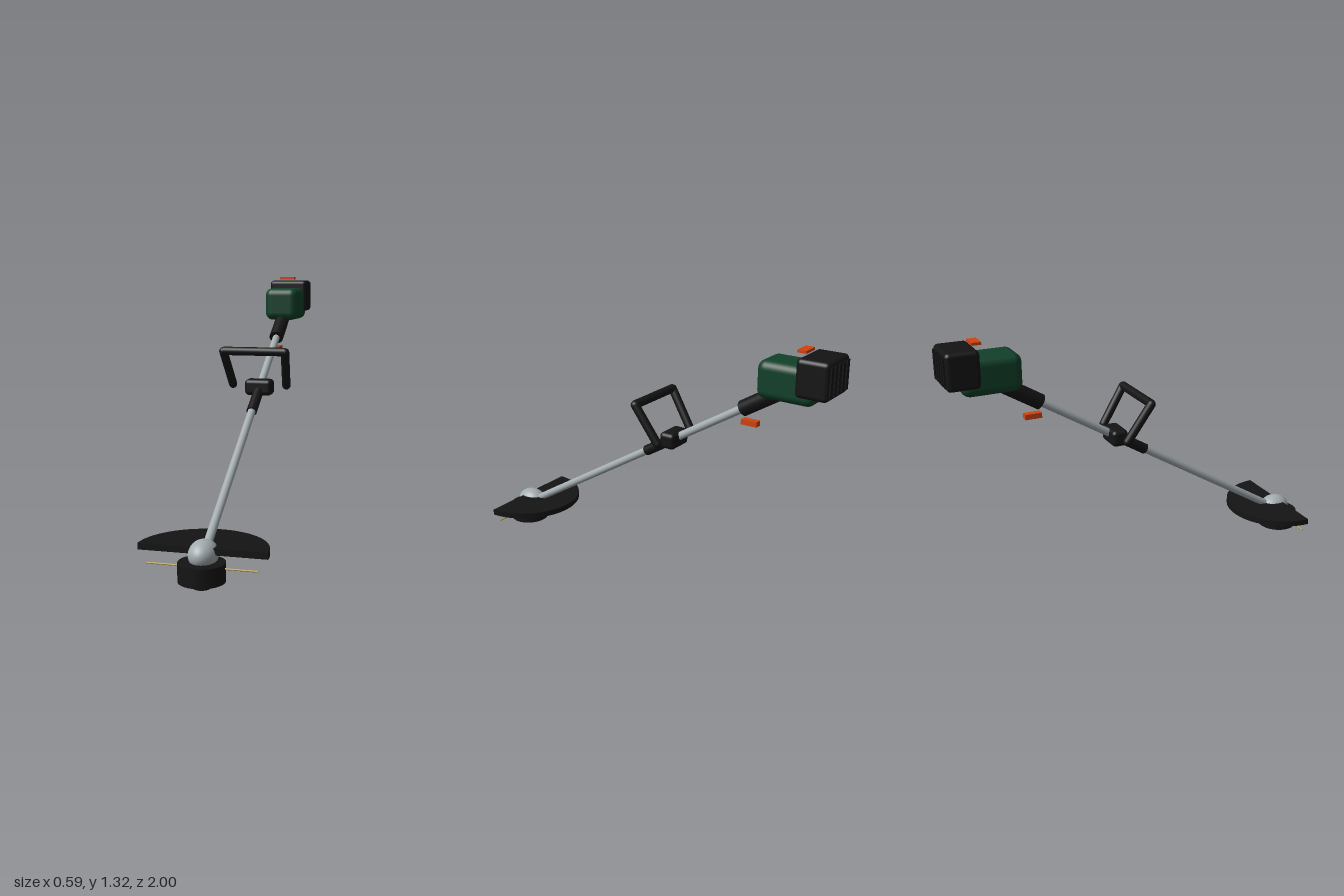
import * as THREE from 'three';
import { RoundedBoxGeometry } from 'three/addons/geometries/RoundedBoxGeometry.js';

export function createModel() {
  const model = new THREE.Group();
  model.name = 'stringTrimmer';

  const mat = (name, color) => {
    const m = new THREE.MeshStandardMaterial({ color });
    m.name = name;
    return m;
  };
  const black = mat('blackPlastic', 0x141414);
  const green = mat('greenHousing', 0x10402a);
  const orange = mat('orangeControl', 0xd0420f);
  const metal = mat('greyMetal', 0xa3acb0);
  const cord = mat('tanCord', 0xb8a050);

  const add = (name, geometry, material, x = 0, y = 0, z = 0) => {
    const mesh = new THREE.Mesh(geometry, material);
    mesh.name = name;
    mesh.position.set(x, y, z);
    model.add(mesh);
    return mesh;
  };
  // A round bar running from a to b, with flat or domed ends
  const rod = (name, a, b, r, material, domed = false) => {
    const p = new THREE.Vector3(...a), q = new THREE.Vector3(...b);
    const d = q.clone().sub(p), len = d.length();
    const geo = domed ? new THREE.CapsuleGeometry(r, len, 6, 20) : new THREE.CylinderGeometry(r, r, len, 24);
    const mesh = add(name, geo, material, ...p.clone().add(q).multiplyScalar(0.5).toArray());
    mesh.quaternion.setFromUnitVectors(new THREE.Vector3(0, 1, 0), d.normalize());
    return mesh;
  };
  const rounded = (name, size, r, material, x, y, z) =>
    add(name, new RoundedBoxGeometry(...size, 5, r), material, x, y, z);

  // Points along the sloping shaft, given z
  const onShaft = (z) => [0, 0.15 + (0.84 - z) * 0.612, z];

  // Shaft and its sleeves
  rod('shaft', onShaft(0.84), onShaft(-0.6), 0.02, metal);
  rod('lowerSleeve', onShaft(0.035), onShaft(-0.13), 0.027, black);
  rod('rearGrip', onShaft(-0.525), onShaft(-0.8), 0.039, black);
  add('trigger', new THREE.BoxGeometry(0.035, 0.026, 0.084), orange, 0, 0.923, -0.567);

  // Front handle
  rounded('handleClamp', [0.146, 0.084, 0.086], 0.022, black, 0, 0.75, -0.133);
  rod('handleBar', [-0.162, 0.947, -0.012], [0.162, 0.947, -0.012], 0.022, black);
  for (const s of [-1, 1]) {
    rod(s > 0 ? 'leftHandleArm' : 'rightHandleArm',
      [s * 0.163, 0.945, -0.012], [s * 0.145, 0.762, -0.132], 0.022, black, true);
  }

  // Motor housing, battery and switch
  rounded('motorHousing', [0.19, 0.182, 0.29], 0.042, green, 0, 1.17, -0.775);
  rounded('battery', [0.22, 0.18, 0.16], 0.022, black, 0, 1.214, -0.914);
  for (let i = 0; i < 5; i++) {
    add('batteryRib', new THREE.BoxGeometry(0.024, 0.14, 0.012), black, (i - 2) * 0.04, 1.214, -0.994);
  }
  add('powerSwitch', new THREE.BoxGeometry(0.084, 0.013, 0.045), orange, 0, 1.318, -0.83);

  // Gear housing and cutting head
  add('gearHousing', new THREE.SphereGeometry(1, 32, 20), metal, 0, 0.142, 0.869).scale.set(0.066, 0.065, 0.086);
  add('cuttingHead', new THREE.CylinderGeometry(0.105, 0.105, 0.085, 40), black, 0, 0.0725, 0.895);
  add('bumpKnob', new THREE.CylinderGeometry(0.04, 0.04, 0.04, 28), black, 0, 0.02, 0.895);
  rod('cuttingLine', [-0.25, 0.092, 0.895], [0.25, 0.092, 0.895], 0.004, cord);

  // Half-disc guard
  const half = new THREE.Shape();
  half.absarc(0, 0, 0.293, 0, Math.PI, false);
  half.closePath();
  const guard = new THREE.ExtrudeGeometry(half, { depth: 0.03, bevelEnabled: false, curveSegments: 28 });
  guard.rotateX(-Math.PI / 2);
  add('guard', guard, black, 0, 0.148, 0.895);

  return model;
}
